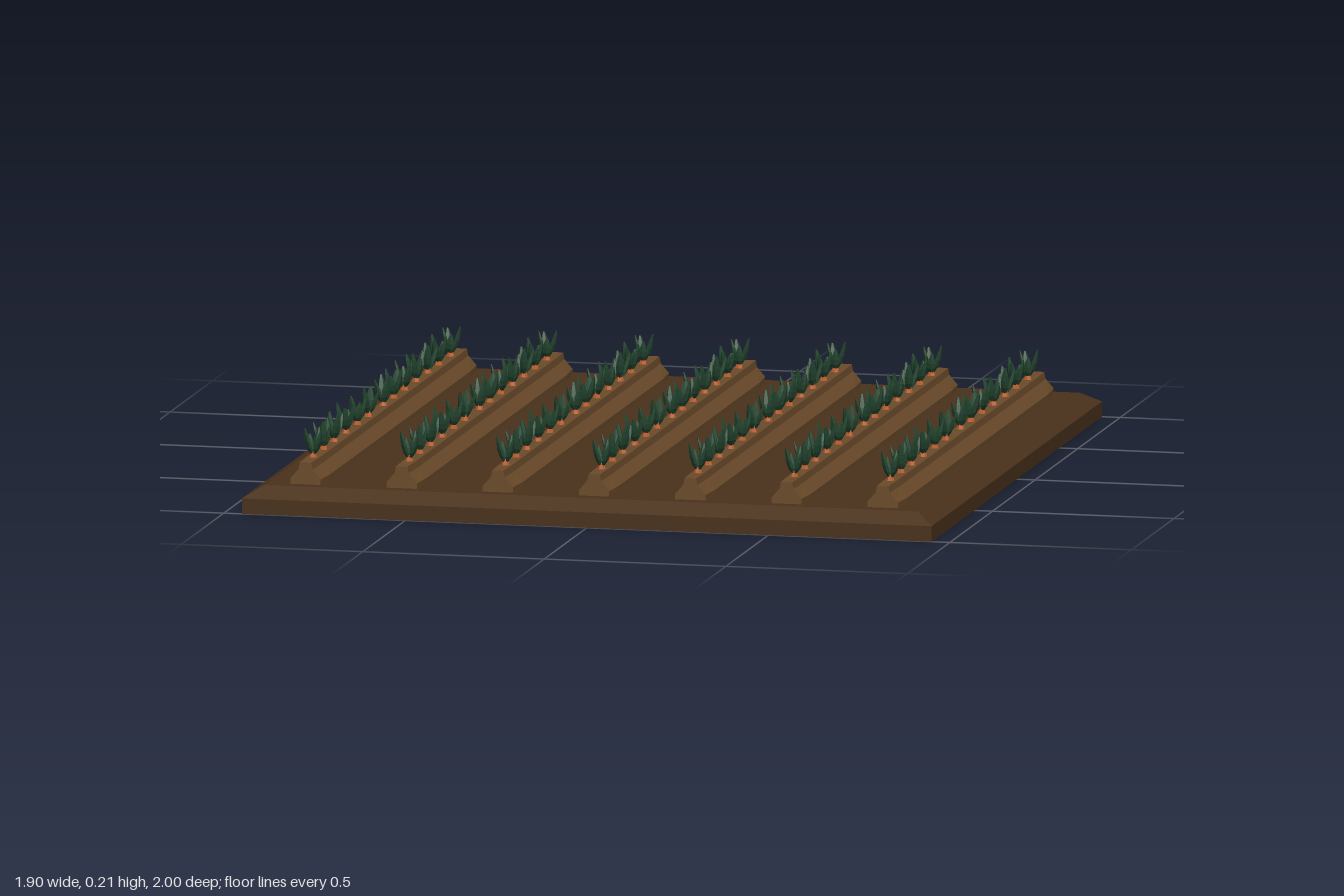
import * as THREE from 'three';
import { mergeGeometries } from 'three/addons/utils/BufferGeometryUtils.js';

const material = (color) => new THREE.MeshStandardMaterial({ color, flatShading: true });

// Apply fn(v) to every vertex of a geometry.
function reshape(geometry, fn) {
  const pos = geometry.attributes.position;
  const v = new THREE.Vector3();
  for (let i = 0; i < pos.count; i++) {
    v.fromBufferAttribute(pos, i);
    fn(v);
    pos.setXYZ(i, v.x, v.y, v.z);
  }
  geometry.computeVertexNormals();
  return geometry;
}

// Soil slab with a bevelled upper edge.
function soilBedGeometry() {
  return reshape(new THREE.BoxGeometry(1.9, 2, 2, 1, 2, 1), (v) => {
    if (v.y > 0.5) {
      v.x *= 0.9 / 0.95;
      v.z *= 0.95;
    }
    v.y = v.y < -0.5 ? 0 : v.y < 0.5 ? 0.042 : 0.072;
  });
}

// Raised ridge, slightly pinched at both ends.
function ridgeGeometry() {
  const profile = new THREE.Shape([
    [-0.048, 0.065], [0.048, 0.065], [0.048, 0.087], [0.022, 0.113],
    [0.018, 0.131], [-0.018, 0.131], [-0.022, 0.113], [-0.048, 0.087],
  ].map(([x, y]) => new THREE.Vector2(x, y)));
  const ridge = new THREE.ExtrudeGeometry(profile, { depth: 1.83, steps: 20, bevelEnabled: false });
  ridge.translate(0, 0, -0.915);
  return reshape(ridge, (v) => {
    if (Math.abs(v.z) > 0.9) v.x *= 0.87;
  });
}

// One leaf: a flattened stalk that swells, leans outward and comes to a point.
function leafGeometry(angle, height, lean) {
  const leaf = reshape(new THREE.CylinderGeometry(1, 1, 1, 5, 4), (v) => {
    const t = v.y + 0.5;
    const width = 0.003 + 0.009 * Math.sin(Math.PI * Math.pow(t, 0.8));
    v.set(v.x * width * 0.6 + 0.004 + lean * Math.pow(t, 0.8), 0.138 + t * height, v.z * width);
  });
  return leaf.rotateY(angle);
}

export function createModel() {
  const group = new THREE.Group();
  const add = (parent, geometry, mat, name) => {
    const mesh = new THREE.Mesh(geometry, mat);
    mesh.name = name;
    parent.add(mesh);
    return mesh;
  };
  const soil = material(0x4a321c);
  const ridgeSoil = material(0x6b4b2a);
  const leafGreen = material(0x23452f);
  const rootOrange = material(0xc0602f);

  add(group, soilBedGeometry(), soil, 'soilBed');

  const ridge = ridgeGeometry();
  const leaves = mergeGeometries([
    leafGeometry(0.2, 0.074, 0.022),
    leafGeometry(2.1, 0.066, 0.024),
    leafGeometry(3.6, 0.072, 0.018),
    leafGeometry(5.0, 0.055, 0.012),
  ]);
  const root = new THREE.CylinderGeometry(0.007, 0.015, 0.03, 6).translate(0, 0.131, 0);
  const plantZ = [-0.79, -0.65, -0.52, -0.385, -0.25, -0.12, 0, 0.175, 0.305, 0.44, 0.575, 0.7, 0.825];

  // Seven identical planted rows.
  for (let r = -3; r <= 3; r++) {
    const row = new THREE.Group();
    row.name = 'plantedRow';
    row.position.x = r * 0.265;
    add(row, ridge, ridgeSoil, 'ridge');
    plantZ.forEach((z, i) => {
      const plant = new THREE.Group();
      plant.name = 'carrotPlant';
      plant.position.z = z;
      plant.rotation.y = i * 2.4;
      add(plant, root, rootOrange, 'carrotTop');
      add(plant, leaves, leafGreen, 'leaves');
      row.add(plant);
    });
    group.add(row);
  }
  return group;
}
